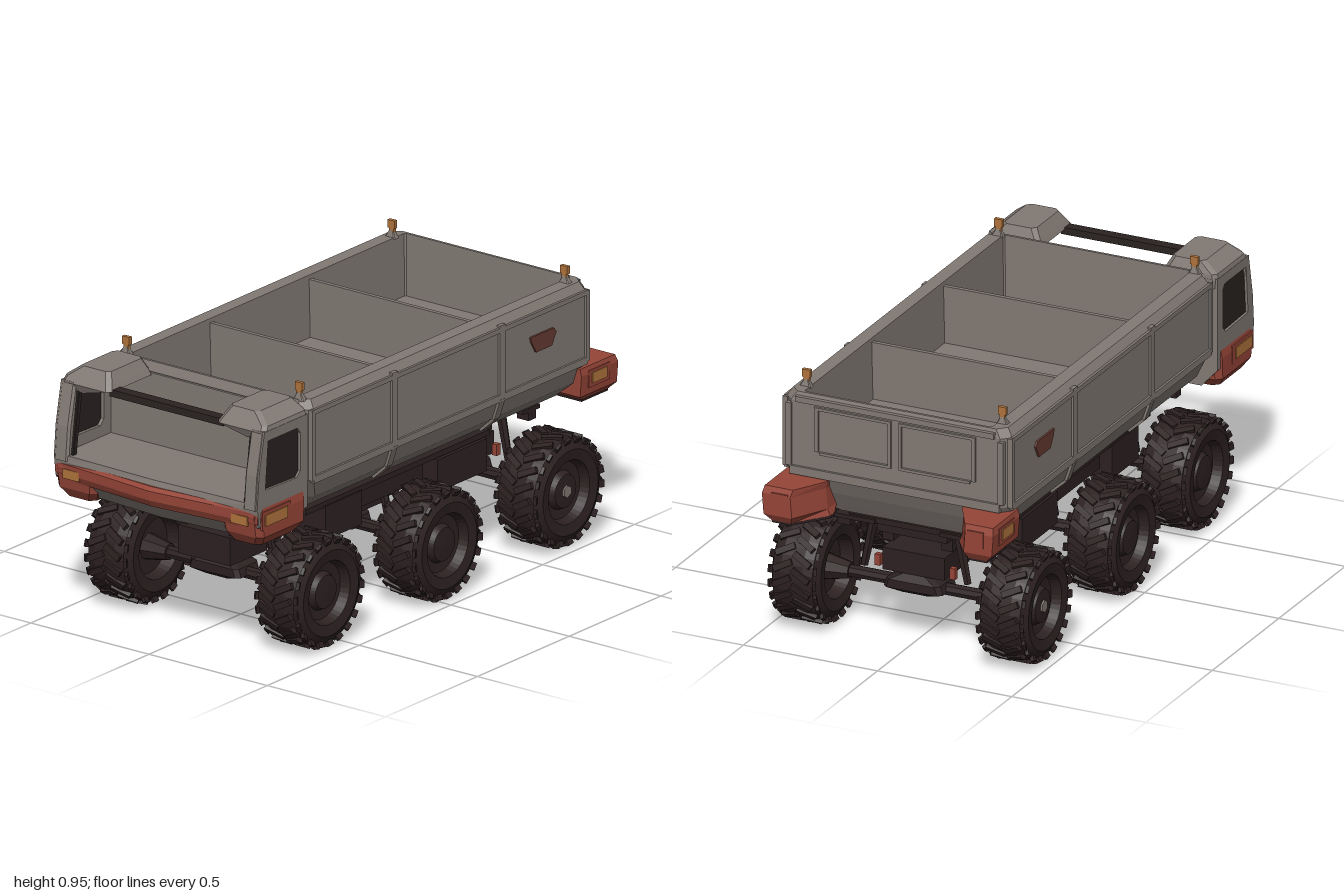
import * as THREE from 'three';
import { mergeGeometries } from 'three/addons/utils/BufferGeometryUtils.js';

const paint = (name, color) => {
  const m = new THREE.MeshStandardMaterial({ color, flatShading: true });
  m.name = name;
  return m;
};

export function createModel() {
  const body = paint('bodyGrey', 0x827a74);
  const red = paint('bumperRed', 0x964538);
  const darkRed = paint('markerRed', 0x673a33);
  const dark = paint('chassisDark', 0x2d2122);
  const glass = paint('windowDark', 0x2a2321);
  const amber = paint('amber', 0xb0733c);

  const root = new THREE.Group();
  root.name = 'sixWheelTruck';
  const add = (name, geo, mat, parent = root) => {
    const m = new THREE.Mesh(geo, mat);
    m.name = name;
    parent.add(m);
    return m;
  };
  // Box given by its limits on each axis
  const box = (name, mat, x0, x1, y0, y1, za, zb) => {
    const m = add(name, new THREE.BoxGeometry(x1 - x0, y1 - y0, Math.abs(zb - za)), mat);
    m.position.set((x0 + x1) / 2, (y0 + y1) / 2, (za + zb) / 2);
    return m;
  };
  // Rectangular ring with cut corners, at height y
  const ring = (x0, x1, za, zb, y, c = 0.015) => {
    const z0 = Math.min(za, zb), z1 = Math.max(za, zb);
    return [[x1 - c, z1], [x1, z1 - c], [x1, z0 + c], [x1 - c, z0],
      [x0 + c, z0], [x0, z0 + c], [x0, z1 - c], [x0 + c, z1]].map(([x, z]) => [x, y, z]);
  };
  // Free outline at height y, mirrored in z when s is -1
  const outline = (pts, y, s = 1) => {
    const r = pts.map(([x, z]) => [x, y, z * s]);
    return s < 0 ? r.reverse() : r;
  };
  // Skin through a stack of rings, closed at both ends
  const loft = (rings) => {
    const p = [], n = rings[0].length;
    const tri = (...v) => v.forEach((q) => p.push(...q));
    for (let k = 0; k + 1 < rings.length; k++) {
      for (let i = 0; i < n; i++) {
        const j = (i + 1) % n, A = rings[k], B = rings[k + 1];
        tri(A[i], A[j], B[j]);
        tri(A[i], B[j], B[i]);
      }
    }
    const a = rings[0], b = rings[rings.length - 1];
    for (let i = 1; i + 1 < n; i++) {
      tri(a[0], a[i + 1], a[i]);
      tri(b[0], b[i], b[i + 1]);
    }
    const g = new THREE.BufferGeometry();
    g.setAttribute('position', new THREE.Float32BufferAttribute(p, 3));
    g.computeVertexNormals();
    return g;
  };
  const shape = (pts) => new THREE.Shape(pts.map(([x, y]) => new THREE.Vector2(x, y)));

  // Open cargo hull with curved belly, thick rim and inner floor
  add('cargoHull', loft([
    ring(-0.59, 0.79, -0.27, 0.27, 0.468, 0.03),
    ring(-0.605, 0.805, -0.34, 0.34, 0.495, 0.03),
    ring(-0.635, 0.832, -0.395, 0.395, 0.545, 0.03),
    ring(-0.675, 0.865, -0.42, 0.42, 0.62, 0.03),
    ring(-0.675, 0.865, -0.42, 0.42, 0.87, 0.03),
    ring(-0.665, 0.855, -0.4, 0.4, 0.9, 0.03),
    ring(-0.655, 0.845, -0.35, 0.35, 0.9, 0.005),
    ring(-0.65, 0.84, -0.345, 0.345, 0.68, 0.005),
  ]), body);
  for (const x of [-0.21, 0.33]) box('cargoPartition', body, x - 0.008, x + 0.008, 0.67, 0.885, -0.35, 0.35);

  // Tailgate frame and two framed panels
  const tail = (y0, y1, z0, z1) => box('tailgateFrame', body, 0.855, 0.874, y0, y1, z0, z1);
  tail(0.605, 0.635, -0.39, 0.39);
  tail(0.868, 0.888, -0.37, 0.37);
  for (const s of [1, -1]) {
    tail(0.635, 0.86, s * 0.385, s * 0.405);
    tail(0.69, 0.86, s * 0.015, s * 0.025);
    tail(0.7, 0.86, s * 0.285, s * 0.3);
    tail(0.69, 0.7, s * 0.025, s * 0.28);
    tail(0.85, 0.86, s * 0.02, s * 0.3);
  }

  for (const s of [1, -1]) {
    // Raised framing on the hull sides
    for (const [x0, x1, y0, y1] of [
      [-0.65, 0.84, 0.855, 0.872], [-0.65, 0.84, 0.61, 0.635], [-0.66, -0.645, 0.62, 0.87],
      [0.83, 0.85, 0.62, 0.87], [-0.225, -0.195, 0.62, 0.88], [0.36, 0.39, 0.62, 0.88],
    ]) box('sideFrame', body, x0, x1, y0, y1, s * 0.41, s * 0.428);
    for (const x of [-0.21, 0.375]) {
      for (const [y0, z0, y1, z1] of [[0.545, 0.395, 0.62, 0.42], [0.495, 0.34, 0.545, 0.395]]) {
        const rib = add('lowerRib', new THREE.BoxGeometry(0.03, Math.hypot(y1 - y0, z1 - z0), 0.018), body);
        rib.position.set(x, (y0 + y1) / 2, (s * (z0 + z1)) / 2);
        rib.rotation.x = s * Math.atan2(z1 - z0, y1 - y0);
      }
    }
    // Side marker plate
    const mark = new THREE.ExtrudeGeometry(
      shape([[0.56, 0.73], [0.645, 0.73], [0.67, 0.775], [0.655, 0.79], [0.53, 0.79], [0.535, 0.77]]),
      { depth: 0.008, bevelEnabled: false });
    add('sideMarker', mark, darkRed).position.z = s > 0 ? 0.419 : -0.427;
    // Amber corner posts
    for (const x of [-0.65, 0.795]) {
      add('postFoot', loft([ring(x - 0.014, x + 0.014, s * 0.345, s * 0.39, 0.895, 0.004),
        ring(x - 0.006, x + 0.006, s * 0.358, s * 0.374, 0.922, 0.002)]), body);
      box('cornerPost', amber, x - 0.006, x + 0.006, 0.91, 0.945, s * 0.355, s * 0.375);
      box('postCap', amber, x - 0.007, x + 0.007, 0.93, 0.958, s * 0.35, s * 0.38);
    }

    // Rear lamp pods
    const pod = [[1, 0.425], [1, 0.32], [0.87, 0.25], [0.8, 0.25], [0.8, 0.425]];
    const podLow = [[0.985, 0.4], [0.985, 0.33], [0.87, 0.24], [0.84, 0.24], [0.84, 0.4]];
    add('rearLampPod', loft([
      outline(podLow, 0.475, s), outline(pod, 0.5, s),
      outline(pod.map(([x, z]) => [x, z + 0.006]), 0.575, s),
      outline(pod.map(([x, z]) => [Math.min(x, 0.99), z]), 0.6, s),
    ]), red);
    add('rearLampUnderside', loft([outline(podLow, 0.468, s), outline(podLow, 0.477, s)]), dark);
    box('rearLampBezel', red, 0.84, 0.955, 0.525, 0.585, s * 0.42, s * 0.432);
    box('rearLampSide', amber, 0.855, 0.935, 0.538, 0.575, s * 0.428, s * 0.436);
    box('rearLampLens', red, 0.995, 1.003, 0.525, 0.582, s * 0.335, s * 0.395);

    // Cab side with window opening
    const door = shape([[-0.965, 0.6], [-0.69, 0.6], [-0.69, 0.87], [-0.925, 0.87], [-0.955, 0.72]]);
    const opening = [[-0.92, 0.665], [-0.905, 0.835], [-0.745, 0.835], [-0.73, 0.815], [-0.73, 0.68], [-0.75, 0.66]];
    door.holes.push(shape(opening));
    add('cabSide', new THREE.ExtrudeGeometry(door, { depth: 0.03, bevelEnabled: false }), body)
      .position.z = s > 0 ? 0.4 : -0.43;
    add('sideWindow', new THREE.ExtrudeGeometry(shape(opening), { depth: 0.009, bevelEnabled: false }), glass)
      .position.z = s > 0 ? 0.412 : -0.421;
    add('frontPillar', loft([ring(-0.968, -0.935, s * 0.37, s * 0.43, 0.6, 0.008),
      ring(-0.957, -0.925, s * 0.37, s * 0.43, 0.72, 0.008),
      ring(-0.926, -0.89, s * 0.37, s * 0.43, 0.87, 0.008)]), body);
    add('pillarTrim', loft([ring(-0.95, -0.93, s * 0.36, s * 0.371, 0.61, 0.002),
      ring(-0.915, -0.895, s * 0.36, s * 0.371, 0.86, 0.002)]), glass);
    add('roofPod', loft([ring(-0.915, -0.685, s * 0.33, s * 0.43, 0.835, 0.015),
      ring(-0.928, -0.682, s * 0.225, s * 0.43, 0.865, 0.015),
      ring(-0.915, -0.685, s * 0.235, s * 0.425, 0.885, 0.015),
      ring(-0.89, -0.7, s * 0.255, s * 0.375, 0.922, 0.015)]), body);

    // Front corner bumper and lamps
    add('cornerBumper', loft([ring(-0.93, -0.73, s * 0.29, s * 0.41, 0.465, 0.02),
      ring(-0.952, -0.7, s * 0.27, s * 0.435, 0.5, 0.02),
      ring(-0.964, -0.695, s * 0.26, s * 0.435, 0.575, 0.02),
      ring(-0.955, -0.695, s * 0.27, s * 0.43, 0.602, 0.02)]), red);
    box('frontLampBezel', red, -0.945, -0.79, 0.528, 0.592, s * 0.428, s * 0.437);
    box('frontLampSide', amber, -0.93, -0.81, 0.54, 0.58, s * 0.433, s * 0.441);
    box('frontLamp', amber, -0.969, -0.961, 0.54, 0.573, s * 0.32, s * 0.39);
  }

  // Cab base with bowed nose, red band, back wall and windscreen header
  const nose = (x, d, bow) => [[-0.69, 0.43 - d], [-0.69, d - 0.43], [x + bow, d - 0.43], [x + bow * 0.6, -0.24],
    [x, 0], [x + bow * 0.6, 0.24], [x + bow, 0.43 - d]];
  add('cabBase', loft([outline(nose(-0.93, 0.06, 0.03), 0.475), outline(nose(-0.98, 0, 0.025), 0.54),
    outline(nose(-0.98, 0, 0.018), 0.597), outline(nose(-0.972, 0.002, 0.012), 0.62)]), body);
  add('noseBand', loft([outline(nose(-0.985, 0.01, 0.035), 0.53), outline(nose(-1, 0.002, 0.04), 0.555),
    outline(nose(-1, 0.002, 0.04), 0.588), outline(nose(-0.985, 0.01, 0.03), 0.6)]), red);
  box('cabBackWall', body, -0.692, -0.682, 0.6, 0.87, -0.41, 0.41);
  box('windscreenHeader', glass, -0.905, -0.865, 0.845, 0.87, -0.24, 0.24);

  // Chassis: rails, cross plates, tanks, gearbox and drive shaft
  for (const [name, x0, x1, y0, y1, z0, z1] of [
    ['deckPlate', -0.5, 0.5, 0.415, 0.45, -0.2, 0.2], ['rearPlate', 0.3, 0.77, 0.435, 0.455, -0.22, 0.22],
    ['rearCrossBeam', 0.6, 0.74, 0.395, 0.435, -0.13, 0.13], ['gearbox', 0.54, 0.73, 0.255, 0.335, -0.115, 0.115],
    ['middleGearbox', -0.15, 0.15, 0.25, 0.42, -0.11, 0.11], ['frontGearbox', -0.7, -0.5, 0.26, 0.36, -0.11, 0.11],
    ['frontCrossBeam', -0.72, -0.48, 0.425, 0.455, -0.16, 0.16], ['driveShaft', -0.6, 0.68, 0.24, 0.268, -0.02, 0.02],
  ]) box(name, dark, x0, x1, y0, y1, z0, z1);
  for (const s of [1, -1]) {
    box('frameRail', dark, -0.68, 0.7, 0.35, 0.42, s * 0.09, s * 0.13);
    box('frontTank', dark, -0.4, -0.2, 0.305, 0.425, s * 0.13, s * 0.28);
    box('middleTank', dark, -0.17, 0.17, 0.35, 0.43, s * 0.13, s * 0.25);
    box('rearTank', dark, 0.21, 0.48, 0.3, 0.415, s * 0.13, s * 0.28);
    box('sideStep', dark, -0.5, 0.5, 0.42, 0.44, s * 0.17, s * 0.275);
    for (const x of [-0.72, 0.74]) {
      box('guardArm', dark, x - 0.05, x + 0.04, 0.435, 0.45, s * 0.12, s * 0.27);
      box('guardFlap', dark, x - 0.02, x + 0.02, 0.405, 0.445, s * 0.22, s * 0.27);
    }
    box('springMarker', red, 0.7, 0.72, 0.26, 0.3, s * 0.13, s * 0.15);
  }

  // Chunky tyre with dished rim, and low slanted lugs
  const profile = [[0, -0.04], [0.1, -0.04], [0.11, -0.085], [0.15, -0.091], [0.182, -0.074], [0.191, -0.04],
    [0.192, 0.04], [0.182, 0.074], [0.15, 0.091], [0.112, 0.085], [0.1, 0.052], [0.068, 0.048], [0.058, 0.07], [0, 0.073]];
  const tyre = new THREE.LatheGeometry(profile.map(([r, y]) => new THREE.Vector2(r, y)), 40).rotateX(Math.PI / 2);
  const lugParts = [];
  for (let i = 0; i < 44; i++) {
    const s = i % 2 ? 1 : -1, turn = (i * Math.PI) / 22;
    const lug = new THREE.BoxGeometry(0.022, 0.014, 0.072);
    lug.rotateY(s * 0.5).translate(0, 0.191, s * 0.034).rotateZ(turn);
    const shoulder = new THREE.BoxGeometry(0.026, 0.034, 0.012);
    shoulder.rotateX(s * 0.5).translate(s * 0.02, 0.172, s * 0.077).rotateZ(turn);
    lugParts.push(lug, shoulder);
  }
  const lugs = mergeGeometries(lugParts);

  // Three axles with differential, hubs, struts and wheels
  for (const [x, z] of [[-0.59, 0.36], [0.02, 0.387], [0.68, 0.387]]) {
    const tube = add('axle', new THREE.CylinderGeometry(0.022, 0.022, 0.6, 8).rotateX(Math.PI / 2), dark);
    tube.position.set(x, 0.205, 0);
    add('differential', loft([ring(x - 0.04, x + 0.04, -0.06, 0.06, 0.182),
      ring(x - 0.065, x + 0.065, -0.11, 0.11, 0.2), ring(x - 0.065, x + 0.065, -0.1, 0.1, 0.23),
      ring(x - 0.04, x + 0.04, -0.04, 0.04, 0.26)]), dark);
    for (const s of [1, -1]) {
      const hub = add('axleHub', new THREE.CylinderGeometry(0.05, 0.03, 0.1, 8).rotateX(s * Math.PI / 2), dark);
      hub.position.set(x, 0.205, s * (z - 0.08));
      const strut = add('strut', new THREE.CylinderGeometry(0.018, 0.014, 0.18, 6), dark);
      strut.position.set(x + 0.03, 0.34, s * 0.175);
      strut.rotation.x = -s * 0.2;
      const wheel = new THREE.Group();
      wheel.name = 'wheel';
      wheel.position.set(x, 0.209, s * z);
      wheel.rotation.y = s > 0 ? 0 : Math.PI;
      add('tyre', tyre, dark, wheel);
      add('tyreLugs', lugs, dark, wheel);
      if (x > 0.5) add('hubCap', new THREE.CylinderGeometry(0.022, 0.022, 0.008, 6).rotateX(Math.PI / 2), body, wheel).position.z = 0.075;
      root.add(wheel);
    }
  }
  return root;
}
